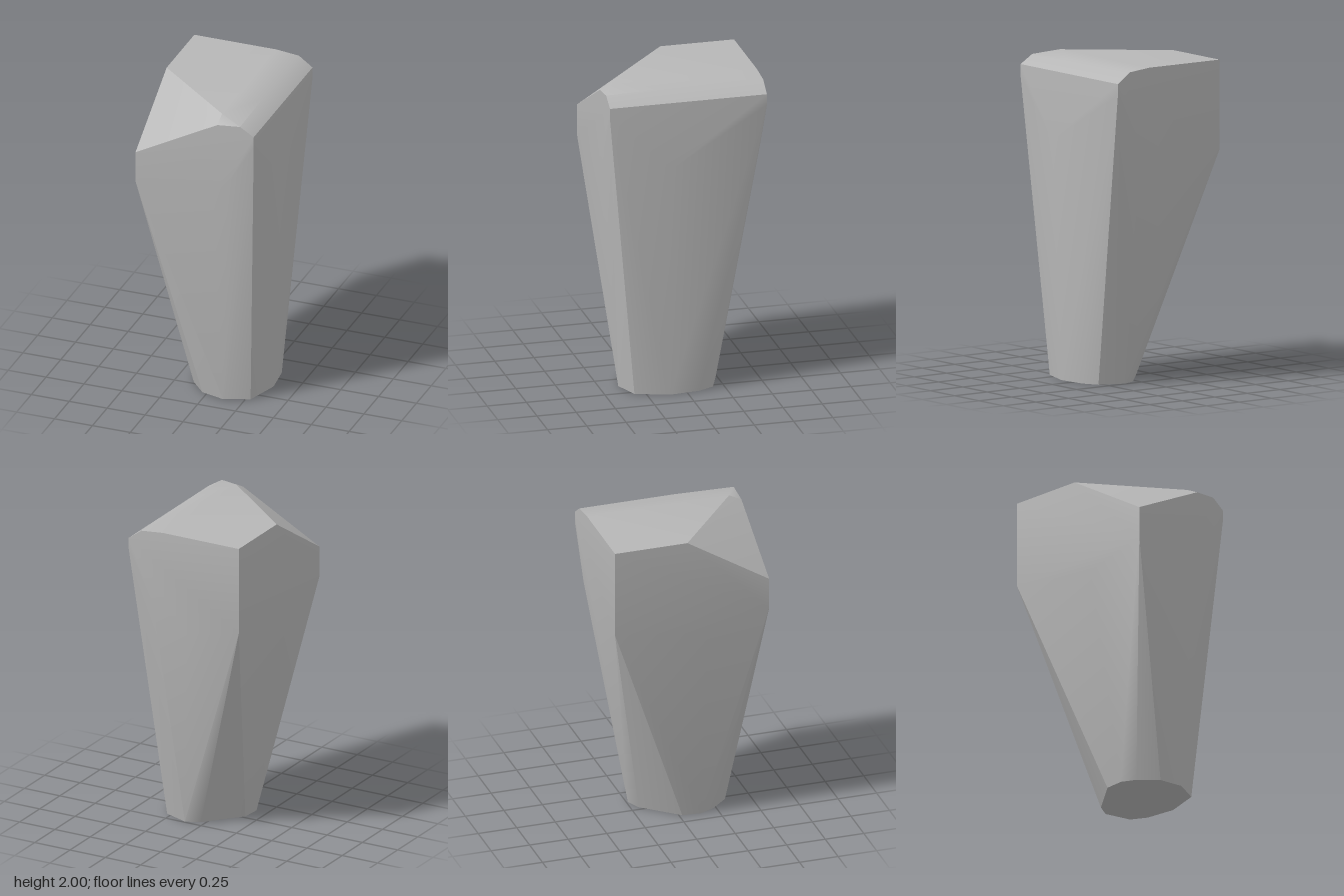
import * as THREE from 'three';
import { ConvexGeometry } from 'three/addons/geometries/ConvexGeometry.js';
import { toCreasedNormals } from 'three/addons/utils/BufferGeometryUtils.js';

export function createModel() {
  const group = new THREE.Group();
  group.name = 'taperedStone';
  const stone = new THREE.MeshStandardMaterial({ color: 0xb6b6b6 });
  stone.name = 'grey stone';

  // small rounded foot, as x, z on the ground
  const foot = [
    [0.28, 0.32], [0.35, 0.11], [0.33, -0.08], [0.28, -0.18], [0.12, -0.24], [0.03, -0.2],
    [-0.16, 0.02], [-0.17, 0.14], [-0.13, 0.23], [-0.03, 0.34], [0.12, 0.38],
  ].map(([x, z]) => [x, 0, z]);

  // shoulder where the taper meets the upright block sides
  const shoulder = [
    [-0.41, 1.44, -0.5], [-0.04, 1.37, -0.5], [0.2, 1.52, -0.5], [0.37, 1.85, -0.5],
    [0.41, 1.5, 0.12],
    [0.37, 1.85, 0.5], [0.2, 1.57, 0.5], [0.1, 1.49, 0.5], [-0.41, 1.47, 0.5],
    [-0.41, 1.36, 0.1],
  ];

  // crown: flat top, sloped right rim and cut front corner
  const crown = [
    [-0.41, 2, -0.5], [0.13, 2, -0.5], [0.28, 1.985, -0.5], [0.37, 1.92, -0.5],
    [-0.41, 2, -0.03], [0.13, 2, 0.42], [0.28, 1.985, 0.12],
    [-0.41, 1.67, 0.5], [0.13, 1.96, 0.5], [0.28, 1.975, 0.5], [0.37, 1.92, 0.5],
  ];

  const points = [...foot, ...shoulder, ...crown].map((p) => new THREE.Vector3(...p));
  const body = new THREE.Mesh(toCreasedNormals(new ConvexGeometry(points), 0.55), stone);
  body.name = 'stoneBody';
  group.add(body);
  return group;
}
